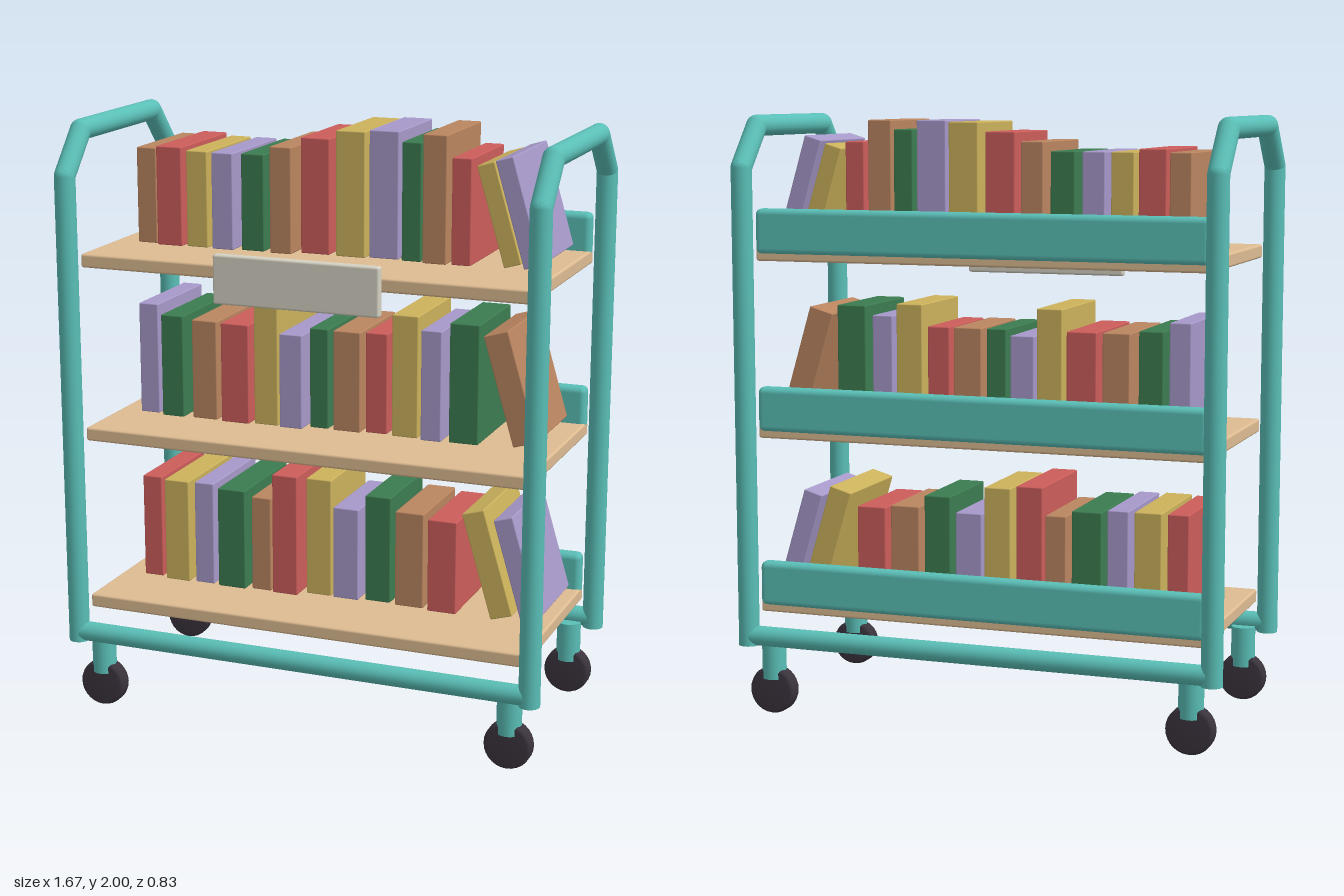
import * as THREE from 'three';
import { RoundedBoxGeometry } from 'three/addons/geometries/RoundedBoxGeometry.js';

const mat = (name, color) => {
  const m = new THREE.MeshStandardMaterial({ color });
  m.name = name;
  return m;
};

export function createModel() {
  const root = new THREE.Group();
  root.name = 'bookCart';

  const teal = mat('tealPaint', 0x5abfb7);
  const wood = mat('shelfWood', 0xdebc92);
  const black = mat('wheelRubber', 0x3a333d);
  const ivory = mat('signPlate', 0xd6d3c4);
  const cover = {
    b: mat('brownCover', 0xba8560),
    r: mat('redCover', 0xcc5d5b),
    y: mat('yellowCover', 0xccb25c),
    l: mat('lavenderCover', 0xa799ca),
    g: mat('greenCover', 0x3c7c50),
  };

  const add = (parent, name, geometry, material, x = 0, y = 0, z = 0) => {
    const mesh = new THREE.Mesh(geometry, material);
    mesh.name = name;
    mesh.position.set(x, y, z);
    parent.add(mesh);
    return mesh;
  };
  const box = (parent, name, w, h, d, r, material, x, y, z) =>
    add(parent, name, new RoundedBoxGeometry(w, h, d, 2, r), material, x, y, z);

  // Straight round bar between two points
  const bar = (parent, name, a, b, r) => {
    const dir = b.clone().sub(a);
    const mesh = add(parent, name, new THREE.CylinderGeometry(r, r, dir.length(), 20), teal);
    mesh.position.copy(a).add(b).multiplyScalar(0.5);
    mesh.quaternion.setFromUnitVectors(new THREE.Vector3(0, 1, 0), dir.normalize());
  };

  // End frames: bent tube with chamfered upper corners
  const R = 0.035;
  const half = [[0.38, 0.235], [0.38, 1.83], [0.26, 1.965]];
  const outline = [...half, ...half.map(([z, y]) => [-z, y]).reverse()];
  for (const s of [-1, 1]) {
    const frame = new THREE.Group();
    frame.name = s > 0 ? 'leftEndFrame' : 'rightEndFrame';
    root.add(frame);
    const pts = outline.map(([z, y]) => new THREE.Vector3(0.8 * s, y, z));
    for (let i = 0; i < pts.length - 1; i++) {
      bar(frame, 'frameTube', pts[i], pts[i + 1], R);
      if (i > 0) add(frame, 'frameBend', new THREE.SphereGeometry(R, 20, 12), teal, ...pts[i].toArray());
    }
  }

  // Lower cross bars, front and back
  for (const z of [0.38, -0.38]) {
    bar(root, 'lowerCrossBar', new THREE.Vector3(-0.79, 0.268, z), new THREE.Vector3(0.79, 0.268, z), 0.033);
  }

  // Casters: round stem and soft-edged wheel
  const edge = [[0, 0.03], [0.068, 0.03], [0.077, 0.024], [0.08, 0.015]];
  const tread = [...edge.map(([r, y]) => [r, -y]), ...edge.reverse()].map(([r, y]) => new THREE.Vector2(r, y));
  for (const x of [-0.725, 0.725]) {
    for (const z of [-0.345, 0.345]) {
      const caster = new THREE.Group();
      caster.name = 'caster';
      caster.position.set(x, 0, z);
      root.add(caster);
      add(caster, 'casterStem', new THREE.CylinderGeometry(0.041, 0.041, 0.137, 20), teal, 0, 0.188, 0);
      add(caster, 'wheel', new THREE.LatheGeometry(tread, 28), black, 0, 0.08, 0).rotation.x = Math.PI / 2;
    }
  }

  // Book backs line up; their depths repeat along each shelf
  const back = -0.265;
  const depths = [0.355, 0.373, 0.365, 0.373, 0.359, 0.368, 0.332, 0.337, 0.323, 0.332, 0.345, 0.337];

  // A shelf with its back rail and books.
  // Upright: cover, left edge, width, height. Leaning: cover, centre x, centre y, width, height, depth.
  const addLevel = (name, top, upright, leaning) => {
    const level = new THREE.Group();
    level.name = name;
    level.position.y = top;
    root.add(level);
    box(level, 'shelfBoard', 1.54, 0.046, 0.69, 0.008, wood, 0, -0.023, 0);
    box(level, 'backRail', 1.54, 0.15, 0.055, 0.02, teal, 0, 0.051, -0.327);
    upright.forEach(([c, x, w, h], i) => {
      const d = depths[i];
      box(level, 'book', w, h, d, 0.004, cover[c], x + w / 2, h / 2, back + d / 2);
    });
    for (const [c, x, y, w, h, d] of leaning) {
      box(level, 'leaningBook', w, h, d, 0.004, cover[c], x, y, back + d / 2).rotation.z = 0.288;
    }
  };

  addLevel('lowerShelf', 0.39, [
    ['r', -0.69, 0.07, 0.36], ['y', -0.6, 0.09, 0.36], ['l', -0.49, 0.07, 0.36], ['g', -0.4, 0.1, 0.35],
    ['b', -0.28, 0.07, 0.33], ['r', -0.2, 0.09, 0.42], ['y', -0.09, 0.09, 0.41], ['l', 0.01, 0.09, 0.32],
    ['g', 0.12, 0.09, 0.37], ['b', 0.23, 0.1, 0.33], ['r', 0.35, 0.1, 0.32],
  ], [['y', 0.563, 0.194, 0.078, 0.369, 0.365], ['l', 0.661, 0.186, 0.067, 0.354, 0.355]]);

  addLevel('middleShelf', 0.98, [
    ['l', -0.69, 0.07, 0.38], ['g', -0.6, 0.08, 0.35], ['b', -0.49, 0.09, 0.34], ['r', -0.38, 0.1, 0.34],
    ['y', -0.265, 0.085, 0.41], ['l', -0.17, 0.08, 0.32], ['g', -0.075, 0.065, 0.34], ['b', 0.01, 0.095, 0.34],
    ['r', 0.12, 0.075, 0.34], ['y', 0.215, 0.09, 0.41], ['l', 0.32, 0.07, 0.37], ['g', 0.415, 0.1, 0.4],
  ], [['b', 0.626, 0.201, 0.085, 0.375, 0.35]]);

  addLevel('upperShelf', 1.57, [
    ['b', -0.685, 0.07, 0.32], ['r', -0.605, 0.09, 0.33], ['y', -0.5, 0.075, 0.32], ['l', -0.405, 0.075, 0.32],
    ['g', -0.305, 0.08, 0.32], ['b', -0.2, 0.075, 0.35], ['r', -0.105, 0.1, 0.38], ['y', 0.02, 0.1, 0.41],
    ['l', 0.13, 0.1, 0.415], ['g', 0.245, 0.065, 0.385], ['b', 0.32, 0.08, 0.415], ['r', 0.415, 0.065, 0.345],
  ], [['y', 0.571, 0.17, 0.06, 0.335, 0.332], ['l', 0.646, 0.187, 0.06, 0.353, 0.37]]);

  // Blank sign plate on the upper shelf edge
  box(root, 'signPlate', 0.566, 0.162, 0.032, 0.008, ivory, 0, 1.529, 0.36);

  return root;
}
